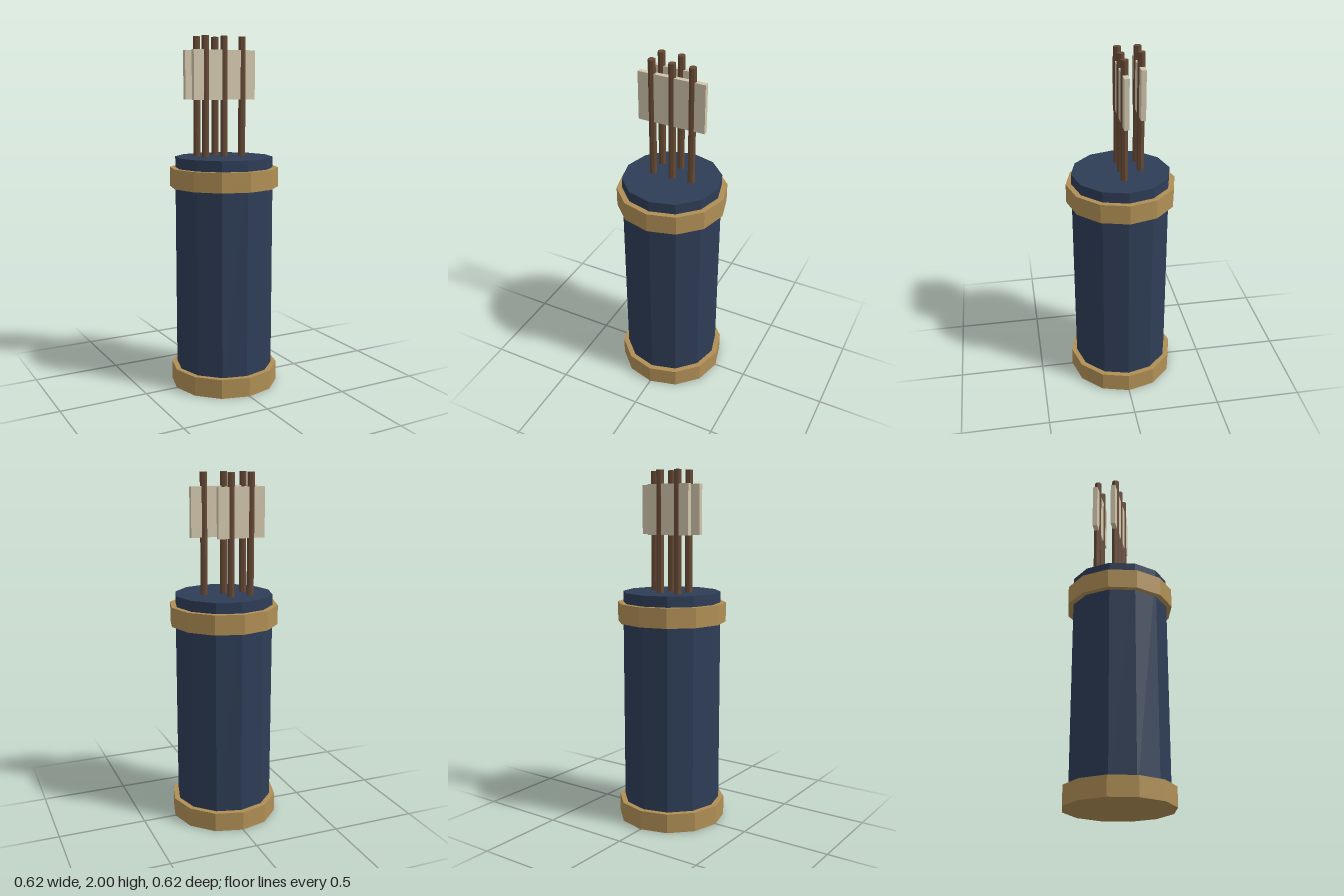
import * as THREE from 'three';

export function createModel() {
  const model = new THREE.Group();
  model.name = 'quiver';

  const material = (color) => new THREE.MeshStandardMaterial({ color, flatShading: true });
  const leather = material(0x2e3d56);
  const brass = material(0xb08f55);
  const wood = material(0x664935);
  const feather = material(0xd2c7ad);

  const add = (parent, name, geometry, mat, x, y, z) => {
    const mesh = new THREE.Mesh(geometry, mat);
    mesh.name = name;
    mesh.position.set(x, y, z);
    parent.add(mesh);
  };
  // Upright faceted cylinder spanning y0 to y1
  const addColumn = (parent, name, radius, sides, y0, y1, mat, x = 0, z = 0) =>
    add(parent, name, new THREE.CylinderGeometry(radius, radius, y1 - y0, sides), mat, x, (y0 + y1) / 2, z);

  // Twelve-sided case with two bands
  addColumn(model, 'case', 0.278, 12, 0.01, 1.33, leather);
  addColumn(model, 'bottomBand', 0.309, 12, 0, 0.11, brass);
  addColumn(model, 'topBand', 0.309, 12, 1.16, 1.27, brass);

  // Arrows: three in the middle row, two behind
  const spacing = 0.116;
  const slots = [[-1, 0], [0, 0], [1, 0], [-1, -0.11], [0, -0.11]];
  slots.forEach(([column, z], i) => {
    const arrow = new THREE.Group();
    arrow.name = `arrow${i + 1}`;
    arrow.position.set(column * spacing, 0, z);
    addColumn(arrow, 'shaft', 0.021, 8, 1.2, 2, wood);
    add(arrow, 'fletching', new THREE.BoxGeometry(0.154, 0.275, 0.027), feather, 0, 1.787, 0);
    model.add(arrow);
  });

  return model;
}
